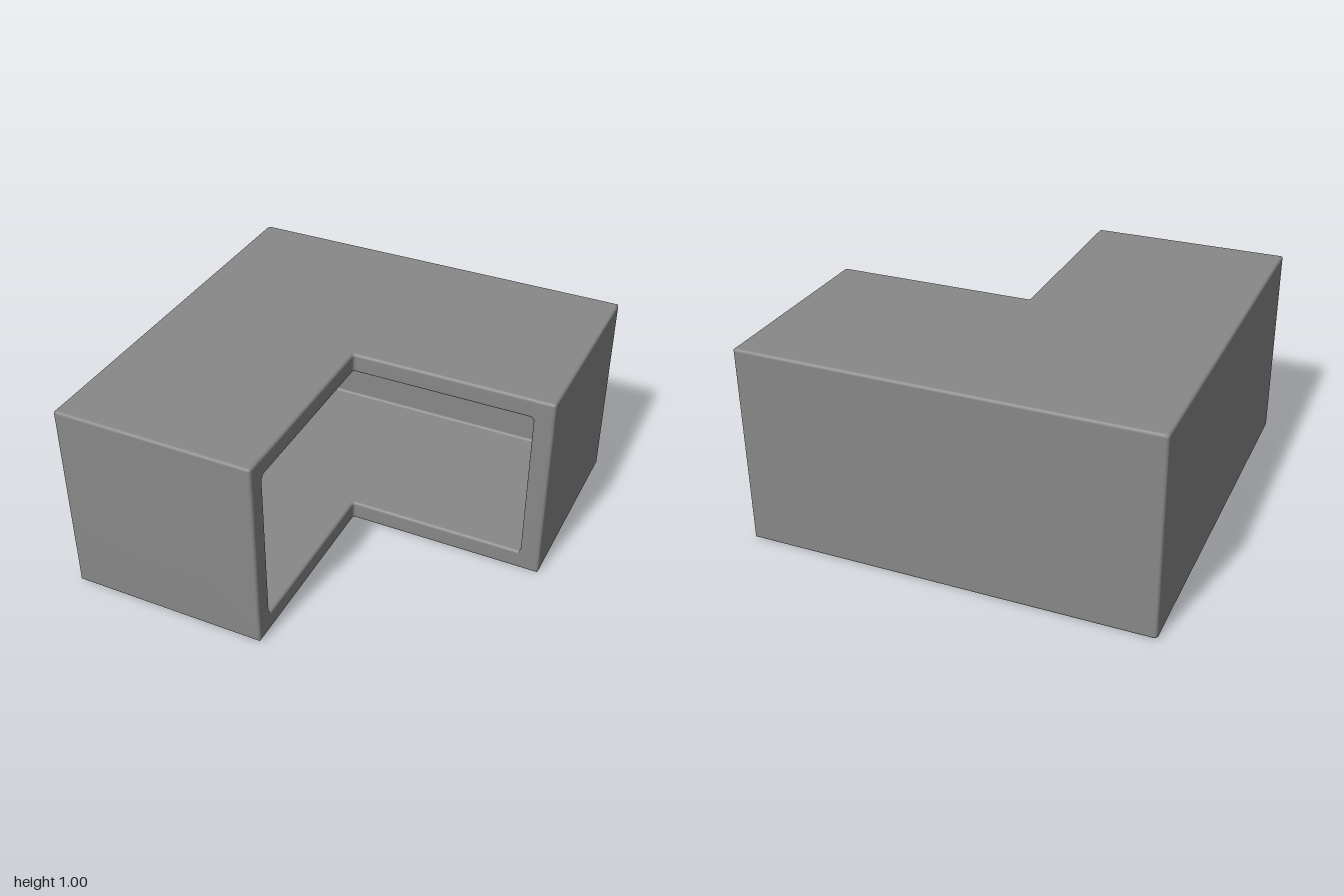
import * as THREE from 'three';
import { mergeVertices } from 'three/addons/utils/BufferGeometryUtils.js';

const R = 0.015;   // edge rounding
const W = 0.1;     // wall thickness
const STEPS = 4;   // segments per rounded edge
const QUARTER = Math.PI / 2;

// Steps 0..1 of a rounded edge
const steps = Array.from({ length: STEPS + 1 }, (_, i) => i / STEPS);

// C-shaped cross-section: d runs from the outer wall (0) to the open side (1)
function makeProfile() {
  const points = [];
  const arc = (d, y, from, to, part) => steps.forEach((k) => {
    const a = (from + (to - from) * k) * QUARTER;
    points.push({ d: d + R * Math.cos(a), y: y + R * Math.sin(a), part });
  });
  arc(R, R, 2, 3, 'outer');
  arc(1 - R, R, 3, 4, 'outer');
  arc(1 - R, W - R, 0, 1, 'lip');
  arc(W + R, W + R, 3, 2, 'cavity');
  arc(W + R, 1 - W - R, 2, 1, 'cavity');
  arc(1 - R, 1 - W + R, 3, 4, 'lip');
  arc(1 - R, 1 - R, 0, 1, 'outer');
  arc(R, 1 - R, 1, 2, 'outer');
  return points;
}

// Sections of one leg, from the corner out to its closed end
function makeLegSections(profile) {
  const sections = [];
  const inset = (p, t) => (p.part === 'outer' ? p : {
    d: p.part === 'cavity' ? p.d + t : p.d,
    y: p.y + (p.y < 0.5 ? t : -t),
    part: p.part,
  });

  // fillet where the cavity meets the end wall
  for (const k of steps) {
    const a = k * QUARTER;
    const t = R * (1 - Math.cos(a));
    sections.push({ s: 1 - W - R + R * Math.sin(a), points: profile.map((p) => inset(p, t)) });
  }
  // inner face of the end wall, then its rounded front edge
  const closed = profile.map((p) => inset(p, R));
  for (const k of steps) {
    const a = k * QUARTER;
    const front = 1 - R + R * Math.sin(a);
    sections.push({
      s: 1 - W + R - R * Math.cos(a),
      points: closed.map((p) => (p.part === 'outer' ? p : { d: Math.max(p.d, front), y: p.y })),
    });
  }
  // rounded outer edge of the end, then the flat cap
  const solid = sections[sections.length - 1].points;
  const clamp = THREE.MathUtils.clamp;
  for (const k of steps) {
    const a = k * QUARTER;
    const t = R * (1 - Math.cos(a));
    sections.push({
      s: 1 - R + R * Math.sin(a),
      points: solid.map((p) => ({ d: clamp(p.d, t, 1 - t), y: clamp(p.y, t, 1 - t) })),
    });
  }
  sections.push({ s: 1, points: solid.map(() => ({ d: 0.5, y: 0.5 })) });
  return sections;
}

function makeShellGeometry() {
  const profile = makeProfile();
  const leg = makeLegSections(profile);

  // Rings: along the back leg to the corner, round it, and out along the side leg
  const rings = [...leg].reverse().map(({ s, points }) => points.map((p) => [s, p.y, p.d - 1]));
  for (const k of steps) {
    const a = k * QUARTER;
    rings.push(profile.map((p) => [
      p.d - 1 + R * (1 - Math.sin(a)), p.y, p.d - 1 + R * (1 - Math.cos(a)),
    ]));
  }
  leg.forEach(({ s, points }) => rings.push(points.map((p) => [p.d - 1, p.y, s])));

  const n = profile.length;
  const index = [];
  for (let i = 0; i < rings.length - 1; i++) {
    for (let j = 0; j < n; j++) {
      const a = i * n + j;
      const b = i * n + ((j + 1) % n);
      index.push(a, b, a + n, b, b + n, a + n);
    }
  }
  const geometry = new THREE.BufferGeometry();
  geometry.setAttribute('position', new THREE.Float32BufferAttribute(rings.flat(2), 3));
  geometry.setIndex(index);
  const merged = mergeVertices(geometry, 1e-5);
  merged.computeVertexNormals();
  return merged;
}

export function createModel() {
  const grey = new THREE.MeshStandardMaterial({ color: 0x888888 });
  grey.name = 'grey';

  const model = new THREE.Group();
  model.name = 'cornerCabinet';

  // Hollow L-shaped shell, open on its two inner sides
  const shell = new THREE.Mesh(makeShellGeometry(), grey);
  shell.name = 'cabinetShell';
  model.add(shell);
  return model;
}
